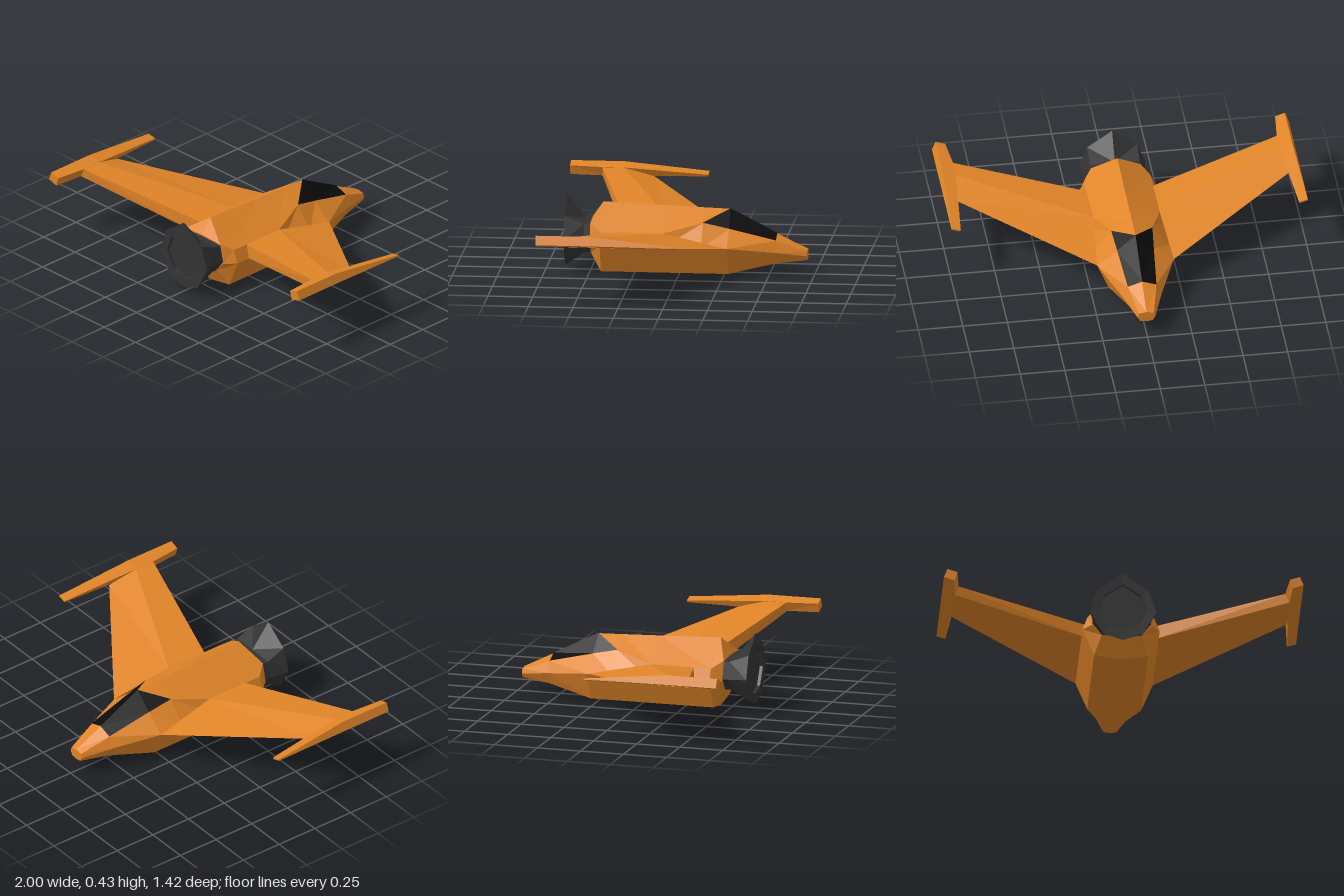
import * as THREE from 'three';

const mat = (color) => new THREE.MeshStandardMaterial({ color, flatShading: true });

// Collects triangles, optionally mirrored across x, into a faceted mesh
function meshFrom(name, tris, material, mirror) {
  const pos = [];
  const flip = (p) => [-p[0], p[1], p[2]];
  for (const [a, b, c] of tris) {
    pos.push(...a, ...b, ...c);
    if (mirror) pos.push(...flip(a), ...flip(c), ...flip(b));
  }
  const g = new THREE.BufferGeometry();
  g.setAttribute('position', new THREE.Float32BufferAttribute(pos, 3));
  g.computeVertexNormals();
  const m = new THREE.Mesh(g, material);
  m.name = name;
  return m;
}

// Skins a row of rings, counter-clockwise as seen from the last one, with end caps
function loft(rings, closed) {
  const tris = [];
  const add = (a, b, c) => {
    const [p, q, r] = [a, b, c].map((v) => new THREE.Vector3(...v));
    if (q.sub(p).cross(r.sub(p)).length() > 1e-7) tris.push([a, b, c]);
  };
  const rs = closed ? rings.map((r) => [...r, r[0]]) : rings;
  for (let i = 0; i < rs.length - 1; i++) {
    for (let j = 0; j < rs[i].length - 1; j++) {
      const a = rs[i][j], b = rs[i][j + 1], c = rs[i + 1][j + 1], d = rs[i + 1][j];
      add(a, b, d);
      add(b, c, d);
    }
  }
  const first = rs[0], last = rs[rs.length - 1];
  for (let j = 1; j < first.length - 1; j++) {
    add(first[0], first[j + 1], first[j]);
    add(last[0], last[j], last[j + 1]);
  }
  return tris;
}

const section = (z, pts) => pts.map(([x, y]) => [x, y, z]);

export function createModel() {
  const group = new THREE.Group();
  const orange = mat(0xe08428);
  const dark = mat(0x333333);
  const black = mat(0x0c0c0c);

  // Hull half-sections: keel, chine, widest point, shoulder, ridge
  const hull = [
    section(-0.71, [[0, 0.08], [0.035, 0.085], [0.05, 0.11], [0.042, 0.135], [0, 0.142]]),
    section(-0.54, [[0, 0.06], [0.075, 0.072], [0.11, 0.138], [0.08, 0.2], [0, 0.227]]),
    section(-0.28, [[0, 0], [0.15, 0.022], [0.215, 0.178], [0.102, 0.266], [0, 0.36]]),
    section(-0.135, [[0, 0], [0.15, 0.022], [0.215, 0.178], [0.115, 0.3], [0, 0.365]]),
    section(0.08, [[0, 0], [0.15, 0.022], [0.215, 0.178], [0.187, 0.252], [0, 0.373]]),
    section(0.43, [[0, 0], [0.15, 0.022], [0.215, 0.178], [0.187, 0.252], [0, 0.387]]),
    section(0.49, [[0, 0.115], [0.11, 0.12], [0.165, 0.18], [0.14, 0.29], [0, 0.3]]),
  ];
  group.add(meshFrom('hull', loft(hull), orange, true));

  // Canopy glass laid just over the hull, with a notched rear edge
  const lift = ([x, y, z]) => [x * 1.005, y + 0.003, z];
  const [frontSide, frontRidge] = hull[1].slice(3).map(lift);
  const [midSide, apex] = hull[2].slice(3).map(lift);
  const rearCorner = lift(hull[3][3]);
  group.add(meshFrom('canopy', [
    [frontSide, frontRidge, midSide],
    [frontRidge, apex, midSide],
    [midSide, apex, rearCorner],
  ], black, true));

  // Flattened neck flaring into an eight-sided exhaust with a recessed plate
  const neck = [[0, 0.115], [0.11, 0.12], [0.163, 0.19], [0.14, 0.287], [0, 0.292]];
  const lip = [[0, 0.025], [0.11, 0.06], [0.186, 0.2], [0.14, 0.33], [0, 0.43]];
  const inner = lip.map(([x, y]) => [x * 0.73, 0.215 + (y - 0.215) * 0.7]);
  group.add(meshFrom('exhaustNozzle', loft([
    section(0.48, neck), section(0.525, neck), section(0.635, lip),
    section(0.633, inner), section(0.615, inner),
  ]), dark, true));

  // Wings: sharp leading edge, top crease, blunt trailing edge
  group.add(meshFrom('wings', loft([
    [[0.215, 0.178, -0.28], [0.187, 0.252, 0.08], [0.187, 0.252, 0.33], [0.212, 0.178, 0.34]],
    [[0.935, 0.328, 0.24], [0.915, 0.38, 0.41], [0.915, 0.38, 0.53], [0.935, 0.328, 0.53]],
  ], true), orange, true));

  // Wingtip fins: bottom inner, bottom outer, top outer, top inner
  group.add(meshFrom('wingtipFins', loft([
    section(-0.06, [[0.952, 0.33], [1, 0.345], [0.998, 0.352], [0.948, 0.34]]),
    section(0.41, [[0.93, 0.328], [1, 0.35], [0.98, 0.4], [0.908, 0.38]]),
    section(0.53, [[0.93, 0.328], [1, 0.35], [0.98, 0.4], [0.908, 0.38]]),
    section(0.71, [[0.94, 0.33], [1, 0.35], [0.98, 0.4], [0.925, 0.382]]),
  ], true), orange, true));

  return group;
}
